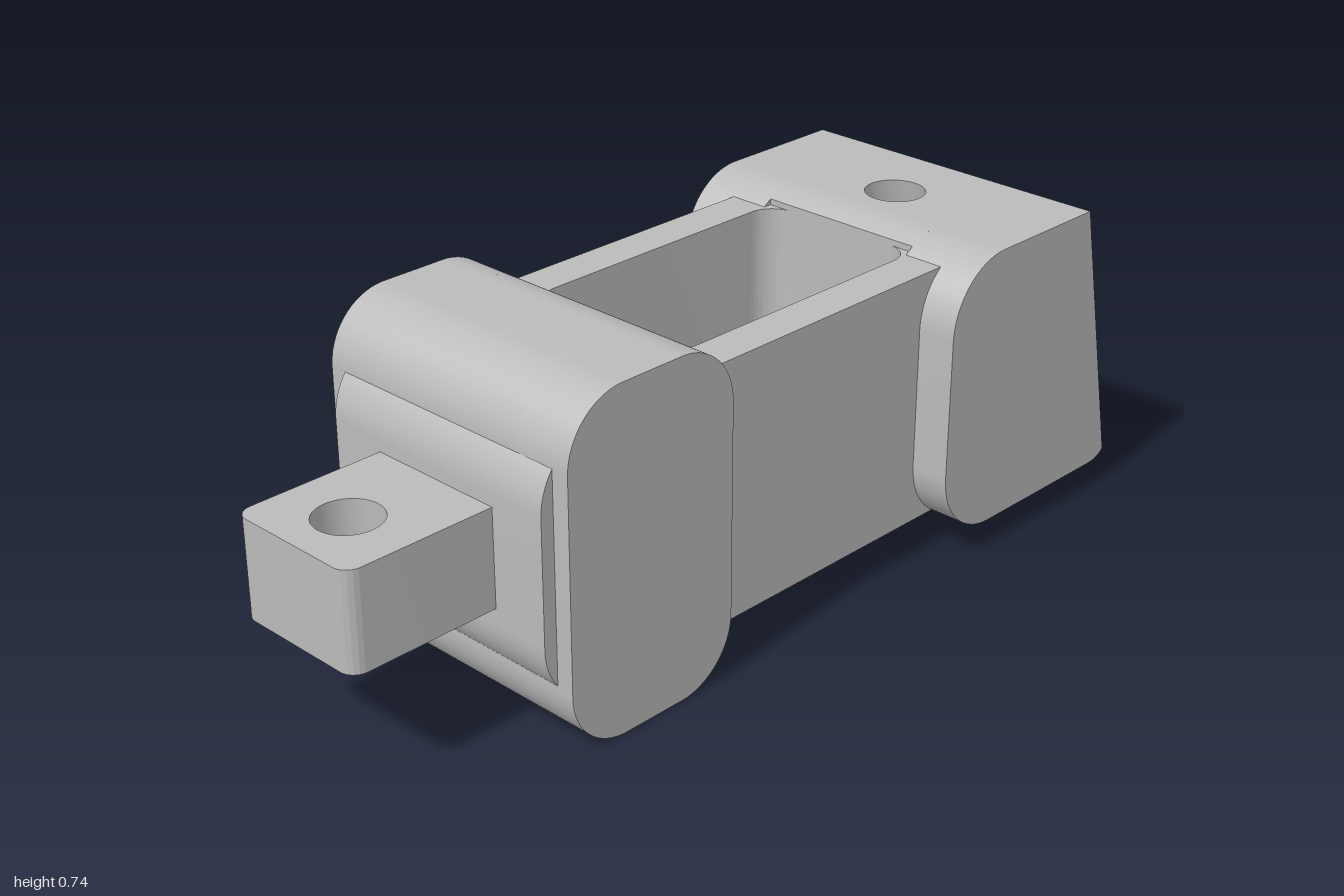
import * as THREE from 'three';
import { toCreasedNormals } from 'three/addons/utils/BufferGeometryUtils.js';

const K = 0.208;          // slope of the slanted end face
const TOP = 0.7, BASE = 0.065, FLOOR = 0.17;
const CEIL = 0.5, SILL = 0.262; // socket edges on the slanted face
const SOCKET = 0.173, WELL = 0.2;

// Point u along the block, on a socket surface meeting the slanted face at y0
function at(u, y0) {
  const dx = (u - 0.87) / (1 + K * K);
  return [0.87 + K * (TOP - y0) + dx, y0 + K * dx];
}
const onFace = (u, y) => [u + K * (TOP - y), y];

function poly(points) {
  return new THREE.Shape(points.map(p => new THREE.Vector2(...p)));
}

// Rounded rectangle; rl and rr are the radii of the low-x and high-x corners
function roundRect(x0, x1, y0, y1, rl, rr, Type = THREE.Shape) {
  const s = new Type();
  s.moveTo(x0 + rl, y0);
  s.lineTo(x1 - rr, y0);
  if (rr) s.absarc(x1 - rr, y0 + rr, rr, -Math.PI / 2, 0, false);
  s.lineTo(x1, y1 - rr);
  if (rr) s.absarc(x1 - rr, y1 - rr, rr, 0, Math.PI / 2, false);
  s.lineTo(x0 + rl, y1);
  if (rl) s.absarc(x0 + rl, y1 - rl, rl, Math.PI / 2, Math.PI, false);
  s.lineTo(x0, y0 + rl);
  if (rl) s.absarc(x0 + rl, y0 + rl, rl, Math.PI, Math.PI * 1.5, false);
  return s;
}

function addHole(shape, x, r) {
  shape.holes.push(new THREE.Path().absarc(x, 0, r, 0, Math.PI * 2, true));
  return shape;
}

export function createModel() {
  const model = new THREE.Group();
  const grey = new THREE.MeshStandardMaterial({ color: 0xbbbbbb });
  grey.name = 'plain grey';

  const extrude = (shape, depth) =>
    new THREE.ExtrudeGeometry(shape, { depth, bevelEnabled: false, curveSegments: 20 });
  function add(name, geometry) {
    const mesh = new THREE.Mesh(toCreasedNormals(geometry, 0.5), grey);
    mesh.name = name;
    model.add(mesh);
  }
  // Side profile swept across z
  const across = (name, shape, z0, z1) =>
    add(name, extrude(shape, z1 - z0).translate(0, 0, z0));
  // Plan outline swept up y
  const upward = (name, shape, y0, y1) =>
    add(name, extrude(shape, y1 - y0).rotateX(-Math.PI / 2).translate(0, y0, 0));
  const bothSides = (name, shape, z0, z1) => {
    across(name + 'Left', shape, -z1, -z0);
    across(name + 'Right', shape, z0, z1);
  };

  // Tongue with pin hole
  upward('tongue', addHole(roundRect(-1, -0.6, -0.16, 0.16, 0.035, 0), -0.865, 0.07), 0.275, 0.49);

  // Body: rounded end, open well and its floor
  across('bodyEnd', roundRect(-0.66, -0.28, 0.09, 0.665, 0.15, 0), -0.292, 0.292);
  const tub = roundRect(-0.28, 0.52, -0.292, 0.292, 0, 0);
  tub.holes.push(roundRect(-0.22, 0.49, -WELL, WELL, 0.06, 0.06, THREE.Path));
  upward('bodyWalls', tub, FLOOR, 0.665);
  upward('bodyFloor', roundRect(-0.28, 0.52, -0.292, 0.292, 0, 0), 0.09, FLOOR);

  // Collar: full cheeks, and a middle notched by the well
  bothSides('collarCheek', roundRect(-0.63, -0.2, 0, 0.742, 0.14, 0.14), WELL, 0.332);
  const notch = new THREE.Shape();
  notch.moveTo(-0.49, 0);
  notch.absarc(-0.34, 0.14, 0.14, -Math.PI / 2, 0, false);
  notch.lineTo(-0.2, FLOOR);
  notch.lineTo(-0.22, FLOOR);
  notch.absarc(-0.34, 0.602, 0.14, Math.acos(0.12 / 0.14), Math.PI / 2, false);
  notch.absarc(-0.49, 0.602, 0.14, Math.PI / 2, Math.PI, false);
  notch.absarc(-0.49, 0.14, 0.14, Math.PI, Math.PI * 1.5, false);
  across('collarMiddle', notch, -WELL, WELL);

  // Lower front lip of the block, rounded at the bottom
  function lip(s) {
    s.quadraticCurveTo(0.985, BASE + 0.001, ...onFace(0.87, 0.085));
    return s;
  }
  // Rear outline of the block, top to bottom, cut by the well when asked
  function rear(s, cut) {
    const a = cut ? Math.PI * 2 / 3 : Math.PI;
    s.absarc(0.57, 0.54, 0.16, Math.PI / 2, a, false);
    if (cut) {
      s.lineTo(0.49, FLOOR);
      s.absarc(0.57, 0.225, 0.16, Math.PI + Math.asin(0.055 / 0.16), Math.PI * 1.5, false);
    } else {
      s.absarc(0.57, 0.225, 0.16, Math.PI, Math.PI * 1.5, false);
    }
    return s;
  }
  function blockProfile(cut) {
    const s = new THREE.Shape();
    s.moveTo(0.87, TOP);
    s.lineTo(0.57, TOP);
    rear(s, cut).lineTo(0.94, BASE);
    return lip(s);
  }
  bothSides('blockCheek', blockProfile(false), WELL, 0.38);
  bothSides('socketWall', blockProfile(true), SOCKET, WELL);

  // Block middle behind the pin hole, with the back of the socket
  const U0 = 0.59, U1 = 0.8, BACK = 0.513;
  const back = new THREE.Shape();
  back.moveTo(U0, TOP);
  back.lineTo(0.57, TOP);
  rear(back, true);
  for (const p of [onFace(U0, BASE), at(U0, SILL), at(BACK, SILL), at(BACK, CEIL), at(U0, CEIL)])
    back.lineTo(...p);
  across('socketBack', back, -SOCKET, SOCKET);

  // Block middle at the slanted face, above and below the socket
  across('socketTopEdge',
    poly([at(U1, CEIL), at(0.87, CEIL), [0.87, TOP], [U1, TOP]]), -SOCKET, SOCKET);
  const lower = new THREE.Shape();
  lower.moveTo(...at(U1, SILL));
  lower.lineTo(...onFace(U1, BASE));
  lower.lineTo(0.94, BASE);
  lip(lower).lineTo(...at(0.87, SILL));
  across('socketBottomEdge', lower, -SOCKET, SOCKET);

  // Plates above and below the socket, pierced by the tilted pin hole
  function piercedPlate(name, topAt, bottomAt) {
    const g = extrude(addHole(roundRect(U0, U1, -SOCKET, SOCKET, 0, 0), 0.675, 0.067), 1);
    const p = g.attributes.position;
    for (let i = 0; i < p.count; i++) {
      const [x, y] = (p.getZ(i) > 0.5 ? topAt : bottomAt)(p.getX(i));
      p.setXYZ(i, x, y, -p.getY(i));
    }
    add(name, g);
  }
  piercedPlate('socketRoof', u => onFace(u, TOP), u => at(u, CEIL));
  piercedPlate('socketFloor', u => at(u, SILL), u => onFace(u, BASE));

  return model;
}
